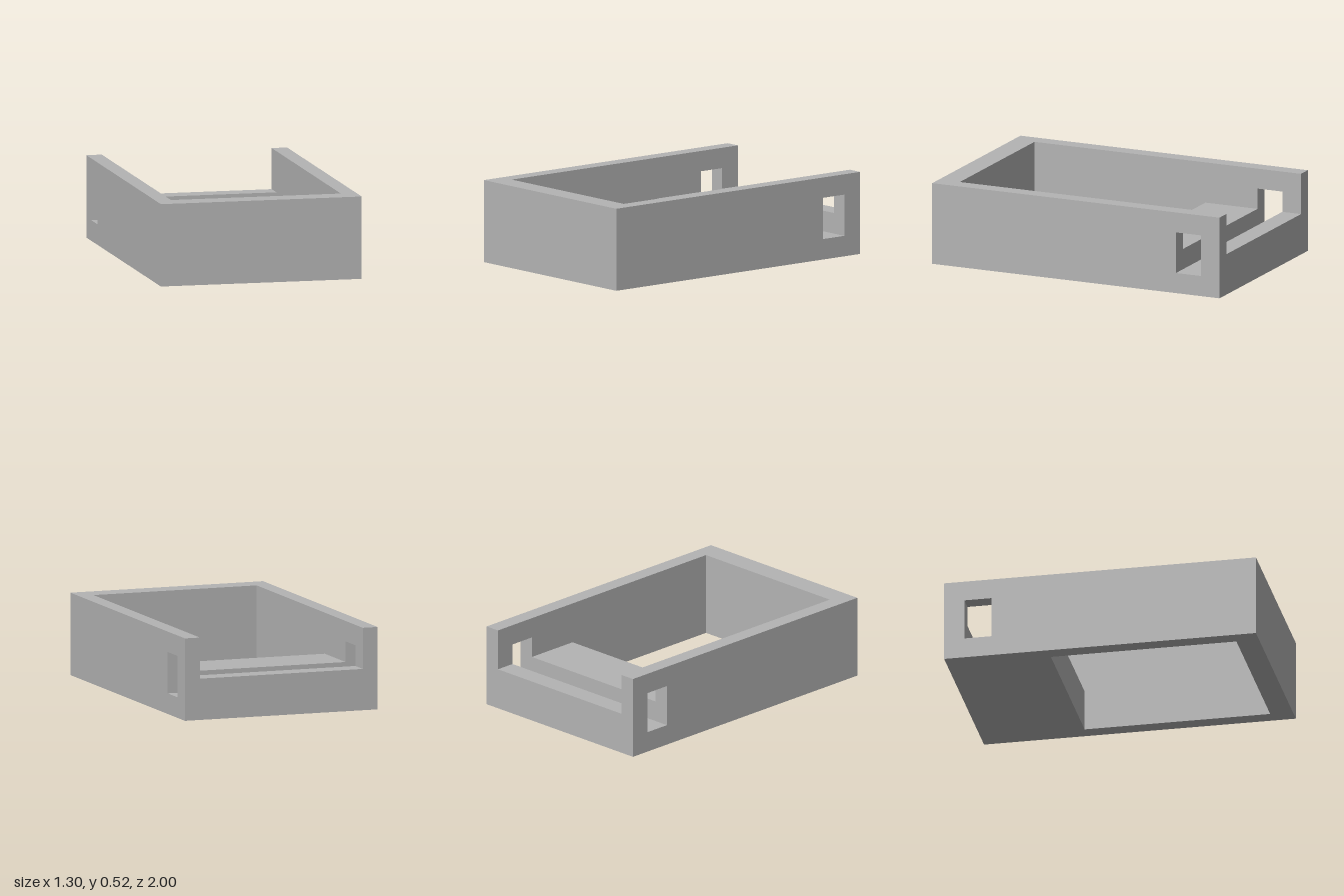
import * as THREE from 'three';

const HALF_WIDTH = 0.65, WALL = 0.1, HEIGHT = 0.525;
const INNER = HALF_WIDTH - WALL;
const SLOT = { back: -0.87, front: -0.697, floor: 0.131, top: 0.395 };
const BLOCK = { front: -0.335, top: 0.263 };
const FRONT_WALL = 0.145;

// Rectangle given in side profile coordinates (z, y)
const rectangle = (z0, z1, y0, y1) => [[z0, y0], [z1, y0], [z1, y1], [z0, y1]]
  .map(([z, y]) => new THREE.Vector2(z, y));

// Extrude a (z, y) profile along x, centred on x = 0
function extrudeAcross(shape, width) {
  const geometry = new THREE.ExtrudeGeometry(shape, { depth: width, bevelEnabled: false });
  geometry.translate(0, 0, -width / 2);
  geometry.rotateY(-Math.PI / 2);
  return geometry;
}

export function createModel() {
  const group = new THREE.Group();
  group.name = 'openFrame';
  const grey = new THREE.MeshStandardMaterial({ color: 0xb4b4b4 });
  grey.name = 'plain grey';

  const add = (name, geometry, x = 0, y = 0, z = 0) => {
    const mesh = new THREE.Mesh(geometry, grey);
    mesh.name = name;
    mesh.position.set(x, y, z);
    group.add(mesh);
  };

  // Side walls, each with a rectangular window in line with the groove
  const side = new THREE.Shape(rectangle(-1, 1, 0, HEIGHT));
  side.holes.push(new THREE.Path(rectangle(SLOT.back, SLOT.front, SLOT.floor, SLOT.top).reverse()));
  const sideGeometry = extrudeAcross(side, WALL);
  for (const [name, sign] of [['leftWall', 1], ['rightWall', -1]]) {
    add(name, sideGeometry, sign * (HALF_WIDTH - WALL / 2));
  }

  // Front wall between the sides
  add('frontWall', new THREE.BoxGeometry(INNER * 2, HEIGHT, FRONT_WALL),
    0, HEIGHT / 2, 1 - FRONT_WALL / 2);

  // Low rear block with a groove running across it
  const block = new THREE.Shape([
    [-1, 0], [BLOCK.front, 0], [BLOCK.front, BLOCK.top], [SLOT.front, BLOCK.top],
    [SLOT.front, SLOT.floor], [SLOT.back, SLOT.floor], [SLOT.back, BLOCK.top], [-1, BLOCK.top],
  ].map(([z, y]) => new THREE.Vector2(z, y)));
  add('groovedRearBlock', extrudeAcross(block, INNER * 2));

  return group;
}
